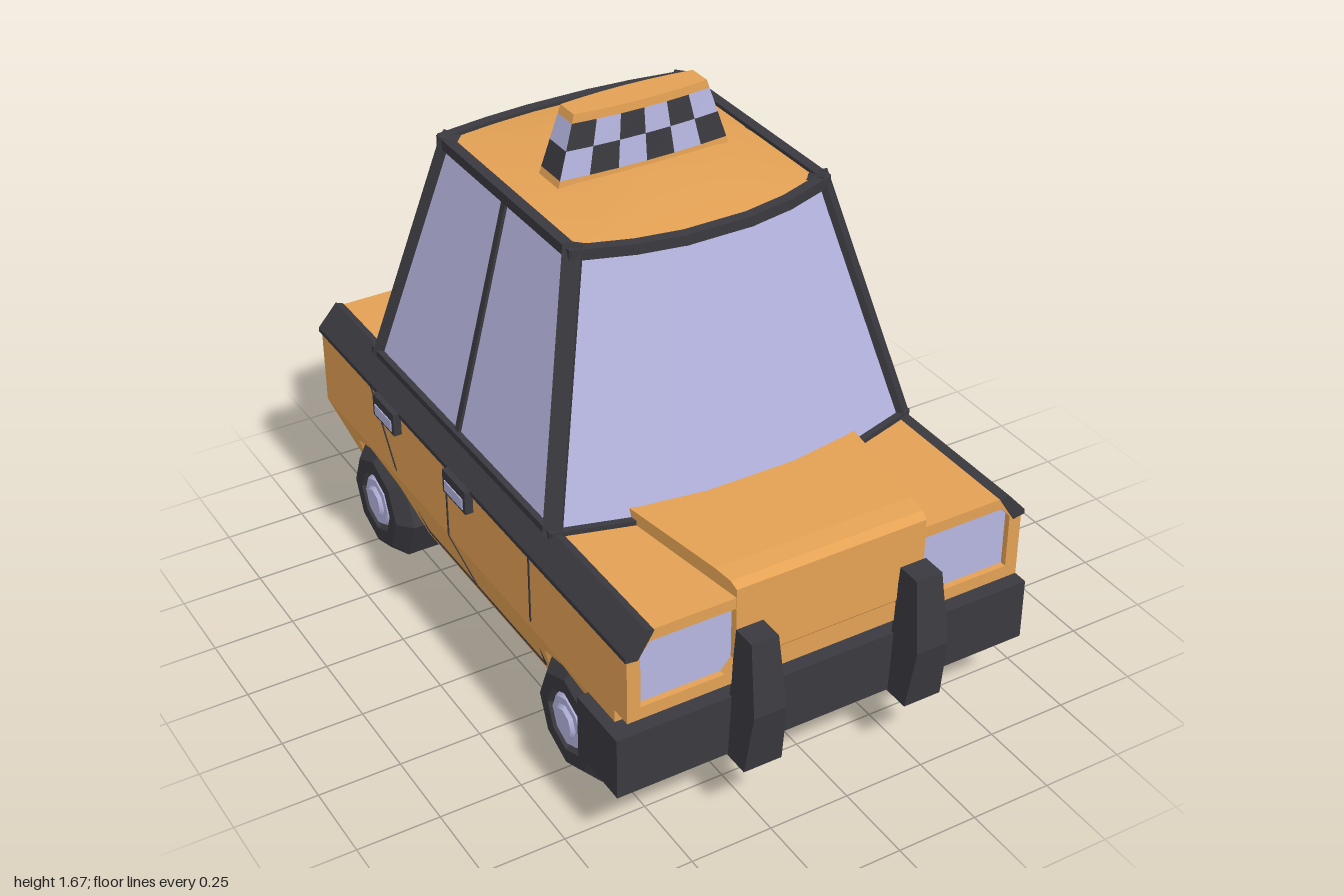
import * as THREE from 'three';
import { toCreasedNormals } from 'three/addons/utils/BufferGeometryUtils.js';

const mat = (name, color) => Object.assign(new THREE.MeshStandardMaterial({ color }), { name });

export function createModel() {
  const car = new THREE.Group();
  car.name = 'taxi';
  const paint = mat('orange paint', 0xe3a154);
  const trim = mat('black trim', 0x39393f);
  const glass = mat('pale lilac glass', 0xb6b5e0);
  const red = mat('red lamp', 0xd9574b);

  const add = (name, geometry, material) => {
    const m = new THREE.Mesh(geometry, material);
    m.name = name;
    car.add(m);
    return m;
  };
  // Box given by its limits
  const box = (name, material, x0, x1, y0, y1, z0, z1) => {
    const m = add(name, new THREE.BoxGeometry(Math.abs(x1 - x0), y1 - y0, z1 - z0), material);
    m.position.set((x0 + x1) / 2, (y0 + y1) / 2, (z0 + z1) / 2);
    return m;
  };
  // Side profile [z, y] spread sideways to a half width w(y, z)
  const slab = (name, material, profile, w) => {
    const shape = new THREE.Shape(profile.map(([z, y]) => new THREE.Vector2(-z, y)));
    const g = new THREE.ExtrudeGeometry(shape, { depth: 1, bevelEnabled: false });
    g.translate(0, 0, -0.5).rotateY(Math.PI / 2);
    const p = g.attributes.position;
    for (let i = 0; i < p.count; i++) p.setX(i, Math.sign(p.getX(i)) * w(p.getY(i), p.getZ(i)));
    g.computeVertexNormals();
    return add(name, g, material);
  };
  // Straight square bar between two points
  const bar = (name, a, b, t, material = trim) => {
    const m = add(name, new THREE.BoxGeometry(t, t, a.distanceTo(b) + t * 0.5), material);
    m.position.copy(a).add(b).multiplyScalar(0.5);
    m.lookAt(b);
    return m;
  };
  // Flat quads, corners counter-clockwise
  const quads = (list) => {
    const g = new THREE.BufferGeometry().setFromPoints(list.flatMap(([a, b, c, d]) => [a, b, c, a, c, d]));
    g.computeVertexNormals();
    return g;
  };
  const between = (r0, r1) => r0.map((p, i) => {
    const j = (i + 1) % r0.length;
    return [p, r0[j], r1[j], r1[i]];
  });
  const V = (x, y, z) => new THREE.Vector3(x, y, z);

  // Lower body with wheel arches
  const wheelZ = [0.525, -0.69];
  const arch = (zc) => [0, 1, 2, 3, 4].map((i) => {
    const a = (i * Math.PI) / 4;
    return [zc - 0.205 * Math.cos(a), 0.2 + 0.2 * Math.sin(a)];
  });
  const foot = (zc) => [[zc - 0.205, 0.18], ...arch(zc), [zc + 0.205, 0.18]];
  const sideX = (y) => (y < 0.42 ? 0.54 + 0.09 * (y - 0.18) / 0.24 : 0.63);
  slab('lowerBody', paint,
    [[-0.91, 0.18], ...foot(wheelZ[1]), ...foot(wheelZ[0]), [0.75, 0.18], [0.82, 0.42], [-0.99, 0.42]], sideX);
  box('underside', trim, -0.5, 0.5, 0.174, 0.4, -0.89, 0.73);

  // Upper body and shoulders
  slab('upperBody', paint,
    [[-0.99, 0.42], [0.82, 0.42], [0.82, 0.46], [0.86, 0.46], [0.86, 0.67], [-0.99, 0.67]], () => 0.63);
  slab('shoulders', paint, [[-0.99, 0.67], [0.86, 0.67], [0.86, 0.74], [-0.99, 0.74]],
    (y) => 0.63 - 0.06 * (y - 0.67) / 0.07);

  // Front fascia with headlight openings
  const poly = (pts) => pts.map(([x, y]) => new THREE.Vector2(x, y));
  const fascia = new THREE.Shape(poly([[-0.63, 0.46], [0.63, 0.46], [0.63, 0.67], [0.57, 0.74], [-0.57, 0.74], [-0.63, 0.67]]));
  for (const s of [1, -1]) {
    fascia.holes.push(new THREE.Path(poly([[0.3, 0.54], [0.335, 0.5], [0.59, 0.5], [0.59, 0.67], [0.56, 0.705], [0.3, 0.705]].map(([x, y]) => [s * x, y]))));
  }
  add('frontFascia', new THREE.ExtrudeGeometry(fascia, { depth: 0.03, bevelEnabled: false }), paint).position.z = 0.855;

  // Raised hood running down into the nose
  slab('hoodAndNose', paint,
    [[0.44, 0.7], [0.44, 0.78], [0.8, 0.785], [0.86, 0.78], [0.885, 0.765], [0.888, 0.53], [0.825, 0.42], [0.7, 0.42]],
    (y, z) => 0.36 - (z - 0.49) * 0.15);

  // Parts on both sides
  for (const s of [1, -1]) {
    box('headlight', glass, s * 0.29, s * 0.6, 0.49, 0.71, 0.85, 0.866);

    const belt = new THREE.Shape(poly([[0.575, 0.75], [0.637, 0.68], [0.637, 0.665], [0.6, 0.66], [0.55, 0.74]].map(([x, y]) => [s * x, y])));
    add('beltTrim', new THREE.ExtrudeGeometry(belt, { depth: 1.885, bevelEnabled: false }), trim).position.z = -0.995;

    // Door handles
    for (const z of [-0.04, -0.5]) {
      box('doorHandle', trim, s * 0.6, s * 0.655, 0.605, 0.68, z - 0.07, z + 0.07);
      box('handleInset', glass, s * 0.65, s * 0.658, 0.615, 0.65, z - 0.055, z + 0.055);
    }
    // Door seams
    const seam = (pts) => pts.slice(1).forEach((p, i) => bar('doorSeam',
      V(s * sideX(pts[i][1]), pts[i][1], pts[i][0]), V(s * sideX(p[1]), p[1], p[0]), 0.006));
    seam([[0.36, 0.67], [0.36, 0.45], [0.3, 0.22], [-0.44, 0.22], [-0.49, 0.45], [-0.64, 0.67]]);
    seam([[-0.14, 0.67], [-0.14, 0.42], [-0.12, 0.22]]);

    // Bumper end and upright guard
    box('bumperEnd', trim, s * 0.61, s * 0.665, 0.225, 0.42, 0.68, 0.89);
    slab('bumperGuard', trim, [[0.87, 0.22], [0.97, 0.22], [1, 0.42], [0.965, 0.64], [0.89, 0.64]],
      (y) => 0.06 - 0.018 * (y - 0.22) / 0.42).position.x = s * 0.262;

    // Small round rear lamp
    for (const [name, m, r, z] of [['rearLampRim', trim, 0.05, -0.955], ['rearLamp', red, 0.042, -0.96]]) {
      const lamp = add(name, new THREE.CylinderGeometry(r, r, 0.04, 8).rotateX(Math.PI / 2), m);
      lamp.position.set(s * 0.41, 0.34, z);
      lamp.rotation.x = -0.3;
    }
  }
  box('frontBumper', trim, -0.64, 0.64, 0.225, 0.42, 0.76, 0.89);

  // Rear light band and plate
  box('rearBandFrame', trim, -0.6, 0.6, 0.51, 0.695, -0.995, -0.98);
  box('rearLightBand', red, -0.58, 0.58, 0.525, 0.68, -1, -0.98);
  box('plateHousing', paint, -0.2, 0.2, 0.21, 0.41, -0.985, -0.88);
  box('plate', glass, -0.16, 0.16, 0.245, 0.375, -0.99, -0.98);

  // Wheels: eight-sided tyres with stepped hubs
  const tyre = [[0.001, -0.125], [0.14, -0.125], [0.19, -0.085], [0.19, 0.085], [0.145, 0.125], [0.1, 0.125], [0.085, 0.1], [0.001, 0.1]];
  for (const s of [1, -1]) {
    for (const z of wheelZ) {
      const wheel = new THREE.Group();
      wheel.name = 'wheel';
      const lathe = toCreasedNormals(new THREE.LatheGeometry(poly(tyre), 8), 0.3);
      const hub = new THREE.CylinderGeometry(0.078, 0.088, 0.02, 8).translate(0, 0.112, 0);
      const cap = new THREE.CylinderGeometry(0.045, 0.055, 0.012, 8).translate(0, 0.127, 0);
      for (const [name, g, m] of [['tyre', lathe, trim], ['hub', hub, glass], ['hubCap', cap, glass]]) {
        const part = new THREE.Mesh(g, m);
        part.name = name;
        wheel.add(part);
      }
      wheel.rotation.z = -s * Math.PI / 2;
      wheel.position.set(s * 0.495, 0.2, z);
      car.add(wheel);
    }
  }

  // Cabin outline: bowed front and rear, straight sides
  const ring = (y, w, front, bowF, rear, bowR) => {
    const u = [-1, -0.6, -0.25, 0.25, 0.6, 1];
    return [...u.map((k) => V(k * w, y, front + bowF * (1 - k * k))),
      ...u.map((k) => V(-k * w, y, rear - bowR * (1 - k * k)))];
  };
  const base = ring(0.74, 0.575, 0.4, 0.105, -0.695, 0.035);
  const top = ring(1.465, 0.395, 0.215, 0.085, -0.54, 0.035);
  add('windows', toCreasedNormals(quads(between(base, top)), 0.5), glass);

  // Crowned roof
  const crown = ring(1.485, 0.22, 0.1, 0.05, -0.42, 0.03);
  const mid = V(0, 1.488, -0.15);
  add('roof', toCreasedNormals(quads([...between(top, crown),
    ...crown.map((p, i) => [p, crown[(i + 1) % 12], mid, mid])]), 0.5), paint);

  // Window frame
  top.forEach((p, i) => bar('roofRim', p.clone().setY(1.462), top[(i + 1) % 12].clone().setY(1.462), 0.032));
  base.forEach((p, i) => bar('windowSill', p, base[(i + 1) % 12], 0.03));
  for (const i of [0, 5, 6, 11]) {
    const inset = V(i % 11 ? -0.012 : 0.012, 0, i < 6 ? -0.015 : 0.015);
    bar('cornerPillar', base[i].clone().add(inset), top[i].clone().add(inset), 0.052);
  }
  for (const s of [1, -1]) bar('doorPillar', V(s * 0.57, 0.74, -0.16), V(s * 0.39, 1.465, -0.15), 0.025);

  // Roof sign with chequered sides
  const signRing = (y) => {
    const t = (y - 1.48) / 0.2;
    const w = 0.272 - 0.062 * t;
    const d = 0.055 - 0.018 * t;
    const row = [0, 1, 2, 3, 4, 5, 6].map((i) => i / 3 - 1);
    return [...row.map((k) => V(k * w, y, -0.14 + d + 0.014 * (1 - k * k))),
      ...row.map((k) => V(-k * w, y, -0.14 - d - 0.014 * (1 - k * k)))];
  };
  const levels = [1.47, 1.5, 1.58, 1.655, 1.68].map(signRing);
  const dark = [], light = [];
  [1, 2].forEach((row) => between(levels[row], levels[row + 1]).forEach((q, i) => {
    const j = i % 7;
    const upperDark = j < 6 && j % 2 === 0;
    (upperDark === (row === 2) ? dark : light).push(q);
  }));
  add('signDarkChecks', quads(dark), trim);
  add('signLightChecks', quads(light), glass);
  const centre = V(0, 1.68, -0.14);
  add('signBaseAndCap', quads([...between(levels[0], levels[1]), ...between(levels[3], levels[4]),
    ...levels[4].map((p, i) => [p, levels[4][(i + 1) % 14], centre, centre])]), paint);

  return car;
}
